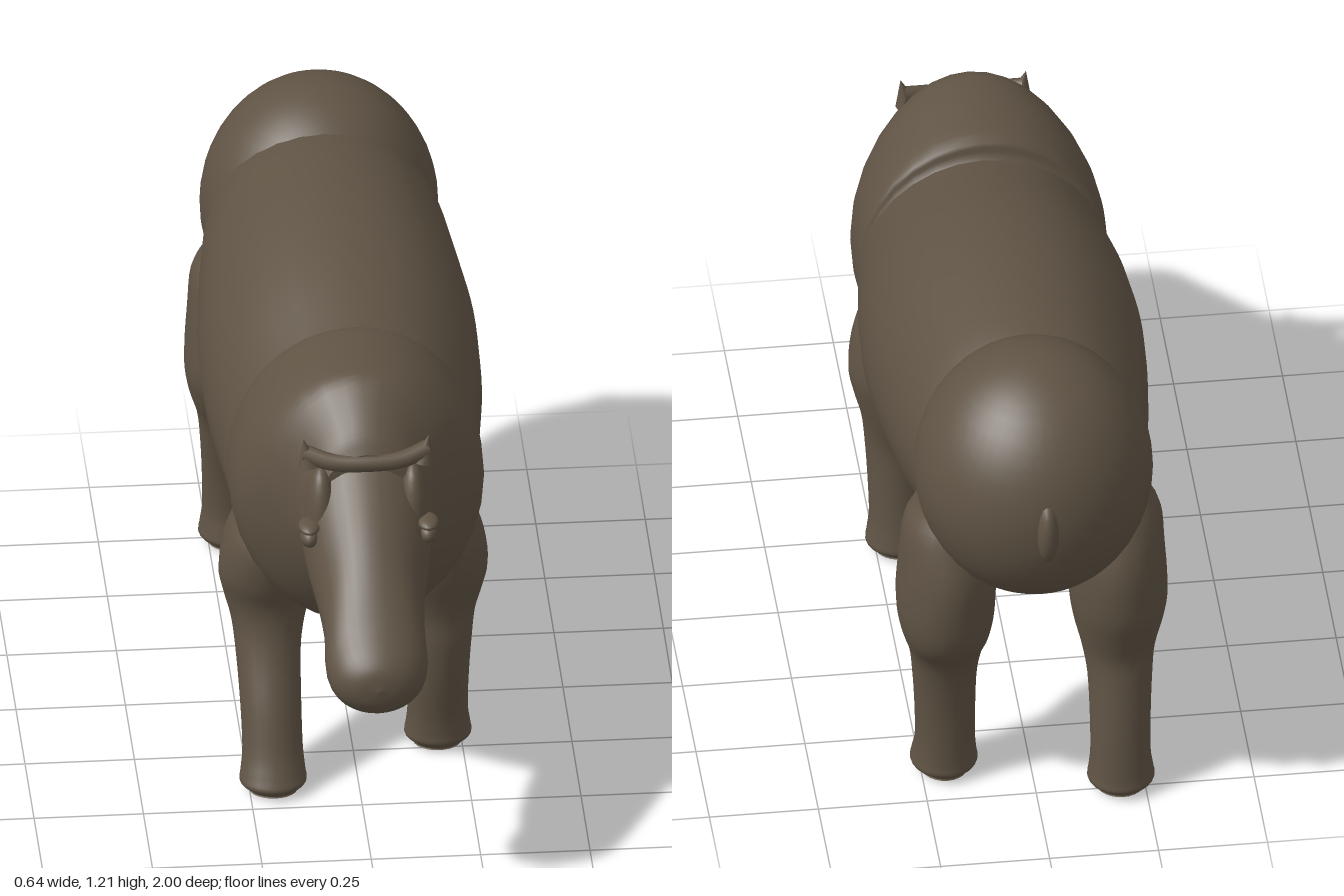
import * as THREE from 'three';

const hide = new THREE.MeshStandardMaterial({ color: 0x5f5344 });
hide.name = 'brown hide';

// Smooth loft through elliptical sections [x, y, z, radiusA, radiusB].
// upright: rings lie flat and the loft runs up y; otherwise it runs along z.
function loft(name, sections, upright = false, sides = 32, perSpan = 4) {
  const centres = new THREE.CatmullRomCurve3(
    sections.map(s => new THREE.Vector3(s[0], s[1], s[2])), false, 'catmullrom', 0.5);
  const radii = new THREE.CatmullRomCurve3(
    sections.map(s => new THREE.Vector3(s[3], s[4], 0)), false, 'catmullrom', 0.5);
  const steps = (sections.length - 1) * perSpan;
  const pos = [], index = [];
  for (let i = 0; i <= steps; i++) {
    const c = centres.getPoint(i / steps), r = radii.getPoint(i / steps);
    for (let j = 0; j < sides; j++) {
      const a = j / sides * Math.PI * 2;
      const u = Math.max(r.x, 0.001) * Math.cos(a), v = Math.max(r.y, 0.001) * Math.sin(a);
      if (upright) pos.push(c.x + u, c.y, c.z - v);
      else pos.push(c.x + u, c.y + v, c.z);
    }
  }
  for (let i = 0; i < steps; i++) {
    for (let j = 0; j < sides; j++) {
      const k = (j + 1) % sides;
      const a = i * sides + j, b = i * sides + k;
      index.push(a, b, b + sides, a, b + sides, a + sides);
    }
  }
  // End caps with their own rings, so the rim stays crisp
  for (const end of [0, steps]) {
    const c = centres.getPoint(end / steps), base = pos.length / 3;
    for (let j = 0; j < sides * 3; j++) pos.push(pos[end * sides * 3 + j]);
    pos.push(c.x, c.y, c.z);
    for (let j = 0; j < sides; j++) {
      const k = (j + 1) % sides;
      if (end) index.push(base + sides, base + j, base + k);
      else index.push(base + sides, base + k, base + j);
    }
  }
  const g = new THREE.BufferGeometry();
  g.setAttribute('position', new THREE.Float32BufferAttribute(pos, 3));
  g.setIndex(index);
  g.computeVertexNormals();
  return part(name, g);
}

function part(name, geometry) {
  const m = new THREE.Mesh(geometry, hide);
  m.name = name;
  return m;
}

function ellipsoid(name, x, y, z, rx, ry, rz, seg = 20) {
  const g = new THREE.SphereGeometry(1, seg * 2, seg);
  g.scale(rx, ry, rz);
  g.translate(x, y, z);
  return part(name, g);
}

// Turns [z, bottom, top, halfWidth] into a loft section
const slice = ([z, lo, hi, w]) => [0, (lo + hi) / 2, z, w, (hi - lo) / 2];
// Turns [y, back z, front z, inner x, outer x] into a leg section
const legRing = side => ([y, z0, z1, x0, x1]) =>
  [side * (x0 + x1) / 2, y, (z0 + z1) / 2, (x1 - x0) / 2, (z1 - z0) / 2];

export function createModel() {
  const model = new THREE.Group();
  model.name = 'hoofedAnimal';

  // Barrel of the body
  model.add(loft('body', [
    [-0.74, 0.66, 1.09, 0.23], [-0.58, 0.57, 1.155, 0.275], [-0.4, 0.505, 1.168, 0.30],
    [-0.2, 0.47, 1.16, 0.318], [0, 0.447, 1.13, 0.315], [0.2, 0.437, 1.08, 0.292],
    [0.36, 0.435, 1.04, 0.28],
  ].map(slice)));

  // Rump with the tail stub
  model.add(ellipsoid('rump', 0, 0.9, -0.7, 0.272, 0.306, 0.28, 24));
  model.add(ellipsoid('tail', 0, 0.9, -0.95, 0.03, 0.085, 0.05, 10));

  // Shoulders and chest, stepping up from the back
  model.add(loft('shoulders', [
    [0.20, 0.47, 1.05, 0.27], [0.235, 0.442, 1.08, 0.285], [0.255, 0.435, 1.115, 0.289],
    [0.36, 0.427, 1.123, 0.29], [0.44, 0.45, 1.126, 0.27], [0.5, 0.50, 1.12, 0.23],
    [0.56, 0.565, 1.075, 0.175], [0.61, 0.625, 1.03, 0.145], [0.635, 0.68, 0.995, 0.12],
  ].map(slice)));

  // Head tapering to a blunt drooping snout
  model.add(loft('head', [
    [0.52, 0.63, 1.04, 0.145], [0.6, 0.618, 0.99, 0.152], [0.68, 0.575, 0.92, 0.14],
    [0.76, 0.535, 0.845, 0.122], [0.84, 0.525, 0.77, 0.115], [0.91, 0.488, 0.70, 0.116],
    [0.96, 0.503, 0.66, 0.095], [0.99, 0.535, 0.625, 0.055], [1.0, 0.579, 0.583, 0.002],
  ].map(slice)));

  // Brow ridge between the ears
  const brow = new THREE.CatmullRomCurve3([
    [-0.14, 0.99, 0.605], [-0.08, 0.975, 0.625], [0, 0.972, 0.632],
    [0.08, 0.975, 0.625], [0.14, 0.99, 0.605],
  ].map(p => new THREE.Vector3(...p)));
  model.add(part('browRidge', new THREE.TubeGeometry(brow, 24, 0.02, 10)));

  // Ears, cheeks, eyes and lids
  for (const s of [1, -1]) {
    const ear = part('ear', new THREE.ConeGeometry(0.026, 0.07, 12));
    ear.position.set(s * 0.137, 0.995, 0.61);
    ear.rotation.z = -s * 0.2;
    model.add(ear);
    model.add(ellipsoid('cheek', s * 0.105, 0.82, 0.62, 0.04, 0.14, 0.06, 14));
    model.add(ellipsoid('eye', s * 0.135, 0.812, 0.675, 0.022, 0.024, 0.034, 10));
    model.add(ellipsoid('eyelid', s * 0.136, 0.838, 0.675, 0.025, 0.013, 0.038, 10));
  }

  // Upper legs are mirrored; the lower legs are placed mid-stride
  const frontUpper = [
    [0.68, 0.18, 0.34, 0.12, 0.255], [0.6, 0.13, 0.385, 0.09, 0.292],
    [0.5, 0.13, 0.37, 0.085, 0.308], [0.43, 0.14, 0.345, 0.095, 0.296],
  ];
  const hindUpper = [
    [0.8, -0.77, -0.58, 0.12, 0.265], [0.74, -0.80, -0.55, 0.10, 0.295],
    [0.64, -0.83, -0.51, 0.085, 0.304], [0.52, -0.825, -0.505, 0.085, 0.311],
    [0.44, -0.80, -0.54, 0.095, 0.30],
  ];
  // [y, inner x, outer x] with back and front z for each side
  const lower = [
    [0.37, 0.112, 0.28], [0.3, 0.123, 0.272], [0.2, 0.126, 0.266],
    [0.1, 0.126, 0.264], [0.05, 0.122, 0.27], [0.025, 0.12, 0.272], [0.006, 0.14, 0.25],
  ];
  const strides = [
    ['leftFrontLeg', 1, frontUpper, [[0.15, 0.33], [0.165, 0.328], [0.162, 0.315],
      [0.154, 0.295], [0.147, 0.29], [0.145, 0.288], [0.165, 0.265]]],
    ['rightFrontLeg', -1, frontUpper, [[0.17, 0.345], [0.21, 0.366], [0.26, 0.41],
      [0.31, 0.445], [0.33, 0.468], [0.335, 0.478], [0.36, 0.455]]],
    ['leftHindLeg', 1, hindUpper, [[-0.745, -0.565], [-0.72, -0.57], [-0.705, -0.573],
      [-0.70, -0.562], [-0.70, -0.542], [-0.70, -0.54], [-0.68, -0.56]]],
    ['rightHindLeg', -1, hindUpper, [[-0.78, -0.59], [-0.785, -0.62], [-0.797, -0.65],
      [-0.806, -0.664], [-0.81, -0.66], [-0.812, -0.658], [-0.79, -0.68]]],
  ];
  for (const [name, side, upper, zs] of strides) {
    const rings = [...upper, ...lower.map(([y, x0, x1], i) => [y, ...zs[i], x0, x1])];
    rings.push(rings[rings.length - 1].map((v, i) => (i === 0 ? 0 : v)));
    model.add(loft(name, rings.reverse().map(legRing(side)), true, 24));
  }

  return model;
}
